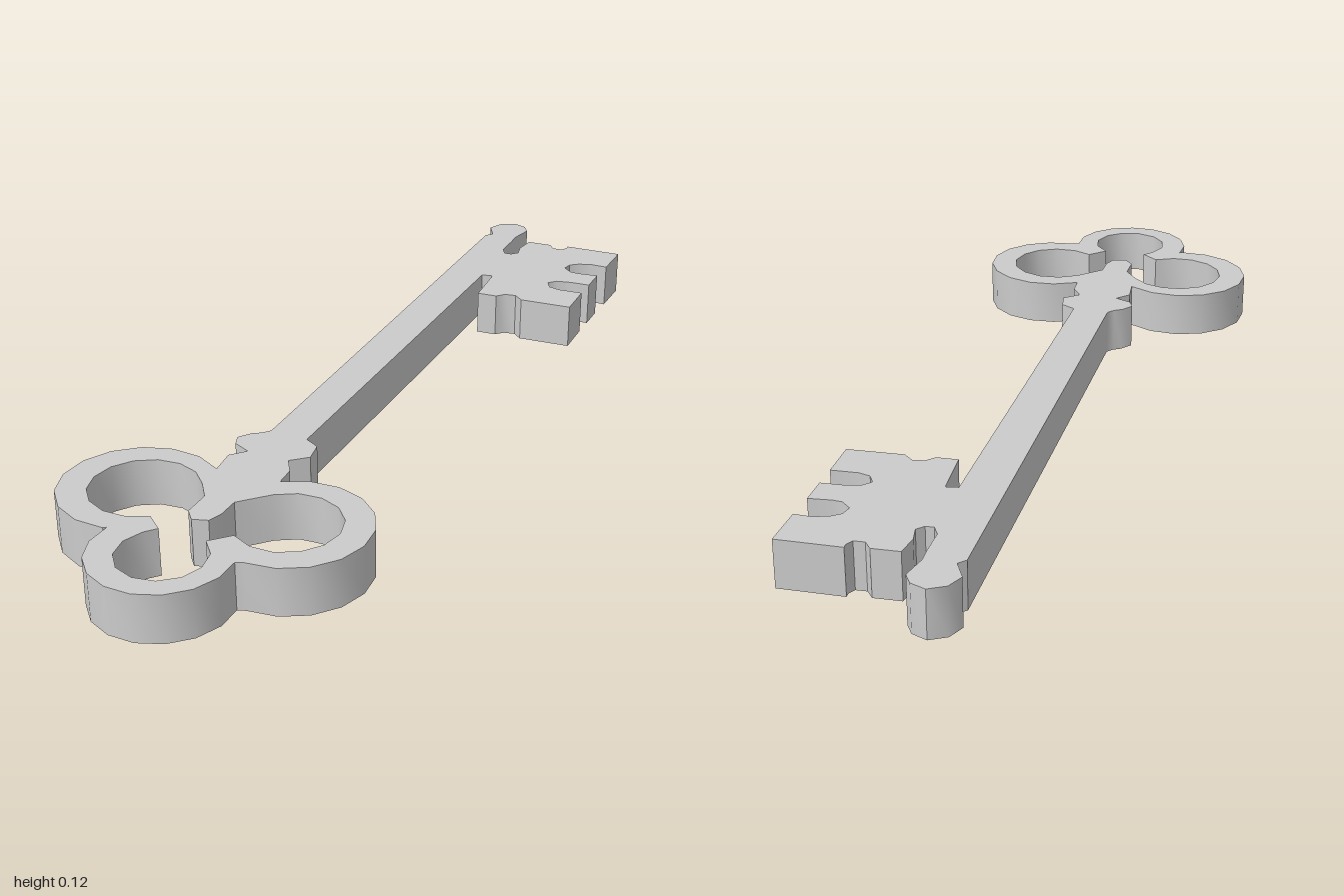
import * as THREE from 'three';
import { toCreasedNormals } from 'three/addons/utils/BufferGeometryUtils.js';

const THICKNESS = 0.125;

// Points along an arc on the ground plane; angles in degrees, from +x towards +z
function arc(cx, cz, r, from, to, steps) {
  return Array.from({ length: steps + 1 }, (_, i) => {
    const a = THREE.MathUtils.degToRad(from + (to - from) * i / steps);
    return [cx + r * Math.cos(a), cz + r * Math.sin(a)];
  });
}

// Ground-plane (x, z) points to shape points
const toShape = (pts) => pts.map(([x, z]) => new THREE.Vector2(x, -z));

export function createModel() {
  // Collar, side facing the back
  const collarBack = [
    [-0.55, 0.3], [-0.5, 0.3], [-0.515, 0.25], [-0.5, 0.22],
    [-0.46, 0.215], [-0.435, 0.222], [-0.41, 0.22],
  ];
  // Far end of the shank with its rounded tip
  const tip = [
    [0.69, -0.795], [0.715, -0.795], [0.735, -0.85], [0.78, -0.865],
    [0.825, -0.85], [0.84, -0.81], [0.83, -0.775], [0.77, -0.74],
  ];
  // Slot between the shank and the bit
  const slot = [
    [0.74, -0.71], [0.685, -0.66], [0.675, -0.63], [0.69, -0.615],
    [0.715, -0.615], [0.74, -0.65], [0.79, -0.685],
  ];
  // Bit: outer end, two rounded notches and the inner end
  const bit = [
    [0.84, -0.635], [0.835, -0.605], [0.855, -0.585], [0.875, -0.59], [0.885, -0.6],
    [1, -0.48], [0.91, -0.4],
    [0.88, -0.435], [0.845, -0.455], [0.815, -0.46], [0.79, -0.445], [0.79, -0.41], [0.805, -0.39],
    [0.85, -0.35], [0.79, -0.295],
    [0.75, -0.335], [0.715, -0.36], [0.685, -0.36], [0.675, -0.33], [0.69, -0.3],
    [0.74, -0.25], [0.655, -0.17],
    [0.55, -0.275], [0.55, -0.31], [0.525, -0.33], [0.495, -0.33], [0.455, -0.37],
    [0.555, -0.475], [0.53, -0.495],
  ];
  // Collar, side facing the front
  const collarFront = [
    [-0.345, 0.3], [-0.335, 0.345], [-0.37, 0.39], [-0.425, 0.385], [-0.44, 0.435],
  ];
  // Three outer lobes of the bow
  const bowOuter = [
    ...arc(-0.52, 0.665, 0.194, -78, 142.5, 10),
    ...arc(-0.83, 0.67, 0.172, 37, 242, 9),
    ...arc(-0.795, 0.365, 0.197, 129.5, 357, 10),
  ];
  // Trefoil opening, with the tongue that reaches in from the collar
  const bowOpening = [
    ...arc(-0.783, 0.374, 0.136, 15, -260, 11),
    [-0.805, 0.57],
    ...arc(-0.83, 0.678, 0.108, -96, -368, 9),
    ...arc(-0.527, 0.658, 0.131, 177, -85, 10),
    [-0.61, 0.525], [-0.655, 0.565], [-0.69, 0.58], [-0.725, 0.56], [-0.72, 0.52], [-0.665, 0.47],
  ];

  const outline = new THREE.Shape(
    toShape([...collarBack, ...tip, ...slot, ...bit, ...collarFront, ...bowOuter]));
  outline.holes.push(new THREE.Path(toShape(bowOpening)));

  // One solid plate, lying flat on the ground
  const solid = new THREE.ExtrudeGeometry(outline, { depth: THICKNESS, bevelEnabled: false });
  solid.rotateX(-Math.PI / 2);

  const key = new THREE.Mesh(
    toCreasedNormals(solid, 0.7),
    new THREE.MeshStandardMaterial({ color: 0xcccccc }));
  key.name = 'keyBody';

  const group = new THREE.Group();
  group.name = 'key';
  group.add(key);
  return group;
}
